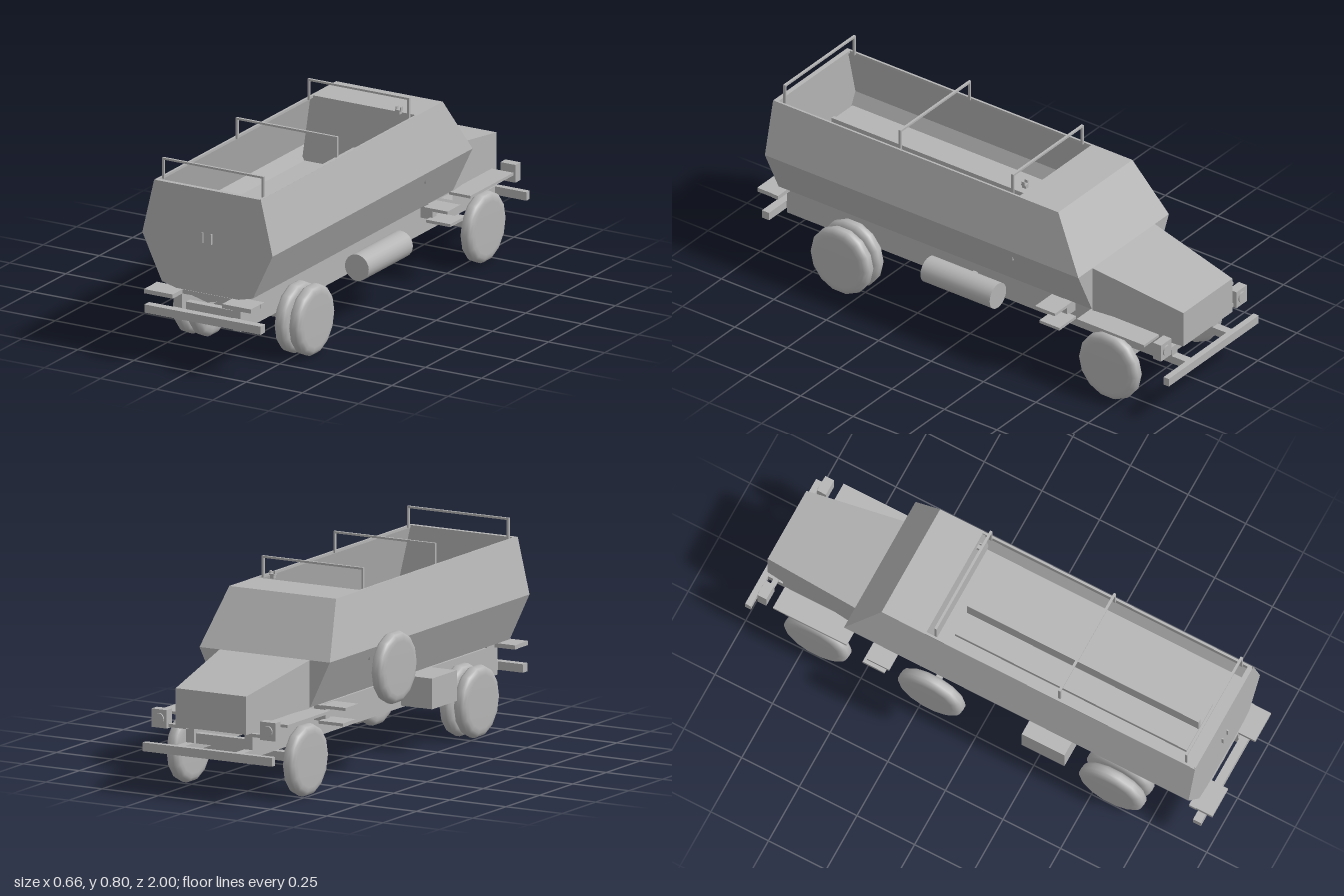
import * as THREE from 'three';

const CX = 0.0325; // centre line of the truck
const paint = new THREE.MeshStandardMaterial({ color: 0xb4b4b4 });
paint.name = 'plain grey';
paint.side = THREE.DoubleSide;

export function createModel() {
  const model = new THREE.Group();
  model.name = 'armouredTruck';

  const add = (name, geometry, x = 0, y = 0, z = 0) => {
    const mesh = new THREE.Mesh(geometry, paint);
    mesh.name = name;
    mesh.position.set(x, y, z);
    model.add(mesh);
    return mesh;
  };
  // Box from its limits on each axis
  const box = (name, x0, x1, y0, y1, z0, z1) =>
    add(name, new THREE.BoxGeometry(x1 - x0, y1 - y0, z1 - z0), (x0 + x1) / 2, (y0 + y1) / 2, (z0 + z1) / 2);
  // Same box on both sides, limits measured outwards from the centre line
  const pair = (name, a, b, y0, y1, z0, z1) => {
    box(name + 'Left', CX + a, CX + b, y0, y1, z0, z1);
    box(name + 'Right', CX - b, CX - a, y0, y1, z0, z1);
  };
  // Flat-faced shell from polygons
  const shell = (name, polygons) => {
    const pos = [];
    for (const p of polygons)
      for (let i = 1; i < p.length - 1; i++) pos.push(...p[0], ...p[i], ...p[i + 1]);
    const g = new THREE.BufferGeometry();
    g.setAttribute('position', new THREE.Float32BufferAttribute(pos, 3));
    g.computeVertexNormals();
    return add(name, g, CX);
  };

  // Hull: six-sided section with a shallow keel, open at the top
  const half = [[0.2375, 0.72, -0.435], [0.29, 0.5, -0.57], [0.2025, 0.316, -0.57]];
  const section = [
    ...half,
    [0, 0.265, -0.57],
    ...half.map(([x, y, z]) => [-x, y, z]).reverse(),
  ];
  const rear = section.map(([x, y]) => [x, y, 0.925]);
  const hull = [rear, [section[0], section[1], section[5], section[6]], section.slice(1, 6).reverse()];
  for (let i = 0; i < 6; i++) hull.push([rear[i], section[i], section[i + 1], rear[i + 1]]);
  shell('hull', hull);

  // Front roof, bulkhead and floor of the open compartment
  shell('frontRoof', [[[-0.2375, 0.72, -0.435], [-0.2375, 0.72, -0.245], [0.2375, 0.72, -0.245], [0.2375, 0.72, -0.435]]]);
  shell('bulkhead', [[[-0.2375, 0.72, -0.245], [-0.276, 0.45, -0.245], [0.276, 0.45, -0.245], [0.2375, 0.72, -0.245]]]);
  shell('floor', [[[-0.265, 0.45, 0.92], [0.265, 0.45, 0.92], [0.265, 0.45, -0.245], [-0.265, 0.45, -0.245]]]);
  pair('sideRim', 0.228, 0.237, 0.71, 0.72, -0.245, 0.92);
  box('rearRim', CX - 0.23, CX + 0.23, 0.71, 0.72, 0.905, 0.924);

  // Back-to-back bench
  box('benchSeat', -0.077, 0.137, 0.47, 0.49, -0.185, 0.82);
  box('benchBase', 0.0, 0.06, 0.45, 0.47, -0.15, 0.79);
  box('benchBackrest', 0.021, 0.037, 0.49, 0.565, -0.185, 0.82);

  // Roof bows
  for (const z of [0.88, 0.33, -0.207]) {
    pair('bowPost', 0.218, 0.226, 0.715, 0.8, z - 0.005, z + 0.005);
    box('bowTop', CX - 0.226, CX + 0.226, 0.792, 0.8, z - 0.005, z + 0.005);
  }

  // Pintle mount
  box('mountPost', 0.193, 0.208, 0.72, 0.735, -0.235, -0.215);
  box('mountBase', 0.188, 0.213, 0.733, 0.738, -0.235, -0.215);
  for (const x of [0.188, 0.208]) box('mountProng', x, x + 0.005, 0.735, 0.75, -0.232, -0.218);

  // Rear door handles
  for (const x of [0.01, 0.049]) box('doorHandle', x, x + 0.005, 0.503, 0.545, 0.925, 0.933);

  // Tapered bonnet
  const back = [[-0.2, 0.5, -0.57], [0.2, 0.5, -0.57], [0.2, 0.275, -0.57], [-0.2, 0.275, -0.57]];
  const nose = [[-0.157, 0.425, -0.972], [0.157, 0.425, -0.972], [0.157, 0.275, -0.972], [-0.157, 0.275, -0.972]];
  const bonnet = [[...nose].reverse()];
  for (let i = 0; i < 4; i++) {
    const j = (i + 1) % 4;
    bonnet.push([back[i], back[j], nose[j], nose[i]]);
  }
  shell('bonnet', bonnet);

  // Chassis rails, cross members and hull mounts
  pair('chassisRail', 0.113, 0.148, 0.172, 0.29, -0.91, 0.925);
  for (const z of [0.88, 0.13, -0.4, -0.88]) box('crossMember', CX - 0.12, CX + 0.12, 0.2, 0.24, z - 0.015, z + 0.015);
  for (const z of [0.88, 0.14, -0.5]) pair('hullMount', 0.113, 0.148, 0.285, 0.318, z - 0.035, z + 0.035);

  // Bumpers
  box('frontBumper', CX - 0.288, CX + 0.288, 0.17, 0.204, -1, -0.975);
  box('rearBumper', CX - 0.259, CX + 0.259, 0.19, 0.223, 0.928, 0.962);
  pair('rearBumperBracket', 0.113, 0.148, 0.19, 0.223, 0.91, 0.93);
  pair('frontBumperBracket', 0.113, 0.148, 0.172, 0.204, -0.978, -0.9);

  // Steps and flat front mudguards
  box('rearStepBeam', CX - 0.24, CX + 0.24, 0.283, 0.3, 0.9, 0.927);
  pair('rearStep', 0.11, 0.238, 0.283, 0.3, 0.925, 1);
  pair('mudguard', 0.19, 0.287, 0.3, 0.311, -0.88, -0.56);
  pair('upperStep', 0.19, 0.298, 0.293, 0.305, -0.465, -0.37);
  pair('lowerStep', 0.19, 0.298, 0.236, 0.248, -0.485, -0.39);
  pair('stepHanger', 0.148, 0.2, 0.24, 0.3, -0.45, -0.42);

  // Headlights with round lenses
  pair('headlight', 0.208, 0.275, 0.258, 0.33, -0.953, -0.915);
  for (const s of [-1, 1]) {
    const lens = add('headlightLens', new THREE.CylinderGeometry(0.022, 0.022, 0.008, 16), CX + s * 0.2415, 0.294, -0.955);
    lens.rotation.x = Math.PI / 2;
    box('headlightBracket', CX + s * 0.18 - 0.05, CX + s * 0.18 + 0.05, 0.262, 0.275, -0.94, -0.92);
  }

  // Fuel tank on one side, storage box on the other
  const tank = add('cylindricalTank', new THREE.CylinderGeometry(0.053, 0.053, 0.33, 24), 0.26, 0.23, 0.025);
  tank.rotation.x = Math.PI / 2;
  box('tankBracket', 0.17, 0.24, 0.22, 0.24, 0.015, 0.035);
  box('storageBox', -0.255, -0.115, 0.18, 0.3, 0.2, 0.385);

  // Wheels: rounded tyre profile turned about the axle
  const profile = [[0, -0.029], [0.105, -0.029], [0.122, -0.027], [0.135, -0.02], [0.141, -0.009],
    [0.141, 0.009], [0.135, 0.02], [0.122, 0.027], [0.105, 0.029], [0, 0.029]];
  const tyre = new THREE.LatheGeometry(profile.map(([r, h]) => new THREE.Vector2(r, h)), 14);
  tyre.rotateZ(Math.PI / 2);
  for (const s of [-1, 1]) {
    add('frontWheel', tyre, CX + s * 0.259, 0.141, -0.7);
    add('rearOuterWheel', tyre, CX + s * 0.259, 0.141, 0.58);
    add('rearInnerWheel', tyre, CX + s * 0.194, 0.141, 0.58);
  }
  add('spareWheel', tyre, -0.303, 0.415, -0.165);
  box('spareWheelArm', -0.28, -0.13, 0.405, 0.423, -0.18, -0.155);

  // Axles
  for (const z of [0.58, -0.7]) box('axle', CX - 0.24, CX + 0.24, 0.13, 0.165, z - 0.018, z + 0.018);

  return model;
}
